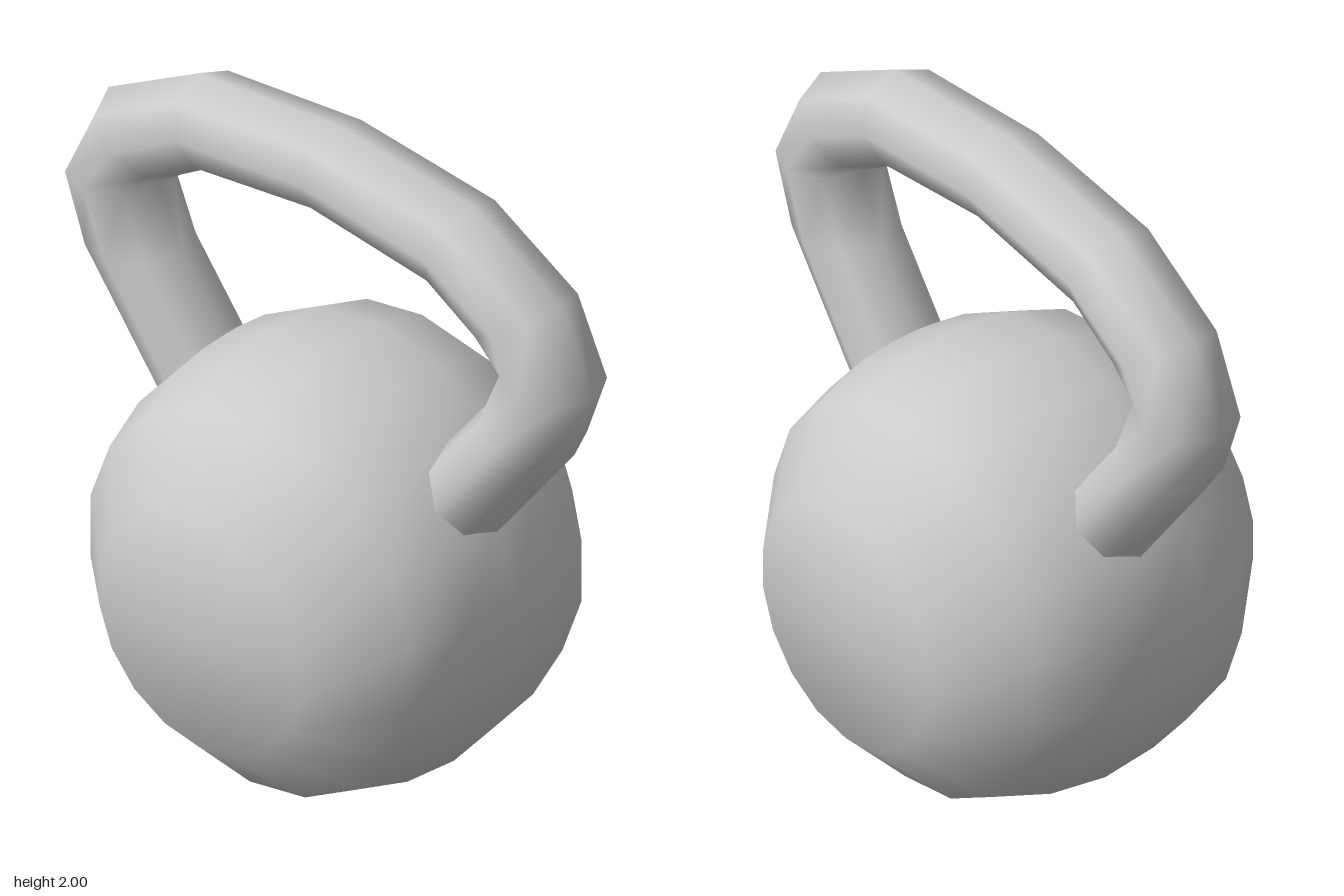
import * as THREE from 'three';
import { mergeVertices } from 'three/addons/utils/BufferGeometryUtils.js';

const material = new THREE.MeshStandardMaterial({ color: 0xcccccc });

// Weld vertices so the shading runs smoothly over the facets
function smooth(geometry) {
  geometry.deleteAttribute('uv');
  geometry.deleteAttribute('normal');
  const welded = mergeVertices(geometry, 1e-4);
  welded.computeVertexNormals();
  return welded;
}

// Ball flattened at the front and back, with a flat base
function makeBody() {
  const profile = [
    [0, -0.57], [0.37, -0.57], [0.59, -0.36], [0.65, -0.18], [0.67, 0],
    [0.65, 0.18], [0.59, 0.36], [0.37, 0.57], [0, 0.57],
  ].map(([r, z]) => new THREE.Vector2(r, z));
  const geometry = new THREE.LatheGeometry(profile, 18);
  geometry.rotateX(Math.PI / 2);
  geometry.translate(0, 0.6, 0);
  const p = geometry.attributes.position;
  for (let i = 0; i < p.count; i++) p.setY(i, Math.max(0, p.getY(i)));
  return smooth(geometry);
}

// Handle lofted through eight-sided sections: [outer x, outer y, inner x, inner y]
function makeHandle() {
  const half = [
    [0.37, 0.62, 0.22, 0.88],
    [0.87, 1.29, 0.56, 1.33],
    [0.94, 1.50, 0.645, 1.53],
    [0.83, 1.76, 0.56, 1.59],
    [0.50, 1.95, 0.41, 1.685],
  ];
  const mirrored = half.map(([a, b, c, d]) => [-a, b, -c, d]).reverse();
  const stations = [...half, [0, 2, 0, 1.74], ...mirrored];
  const sides = 8, depth = 0.15;
  const positions = [], indices = [];
  stations.forEach(([ox, oy, ix, iy], i) => {
    for (let j = 0; j < sides; j++) {
      const a = (j / sides) * Math.PI * 2;
      const t = (1 + Math.cos(a)) / 2;
      positions.push(ix + (ox - ix) * t, iy + (oy - iy) * t, depth * Math.sin(a));
      if (i === stations.length - 1) continue;
      const k = (j + 1) % sides, row = i * sides, next = row + sides;
      indices.push(row + j, next + j, row + k, next + j, next + k, row + k);
    }
  });
  const geometry = new THREE.BufferGeometry();
  geometry.setAttribute('position', new THREE.Float32BufferAttribute(positions, 3));
  geometry.setIndex(indices);
  geometry.computeVertexNormals();
  return geometry;
}

export function createModel() {
  const group = new THREE.Group();
  group.name = 'kettlebell';
  for (const [name, geometry] of [['body', makeBody()], ['handle', makeHandle()]]) {
    const mesh = new THREE.Mesh(geometry, material);
    mesh.name = name;
    group.add(mesh);
  }
  return group;
}
